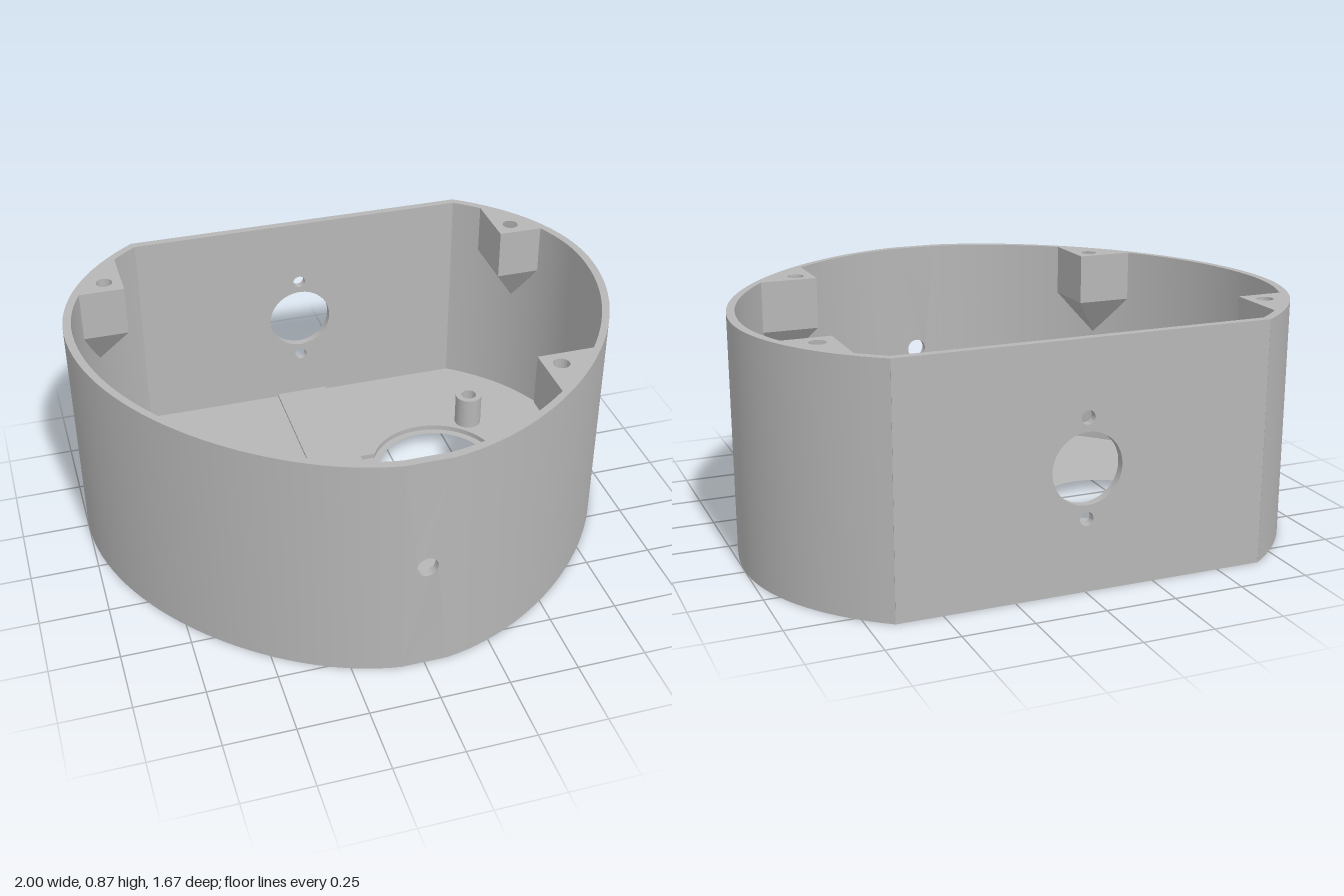
import * as THREE from 'three';
import { toCreasedNormals } from 'three/addons/utils/BufferGeometryUtils.js';
import { ConvexGeometry } from 'three/addons/geometries/ConvexGeometry.js';

const H = 0.865, WALL = 0.03, BACK = -0.84, MID = -0.24;
const V = (x, y) => new THREE.Vector2(x, y);

export function createModel() {
  const model = new THREE.Group();
  const grey = new THREE.MeshStandardMaterial({ color: 0xb6b6b6 });

  const add = (name, geometry) => {
    const mesh = new THREE.Mesh(geometry, grey);
    mesh.name = name;
    model.add(mesh);
    return mesh;
  };
  const extrude = (shape, depth) =>
    new THREE.ExtrudeGeometry(shape, { depth, bevelEnabled: false, curveSegments: 32 });
  // Upright prism: the shape is drawn in x and z, and runs from y0 to y1
  const prism = (shape, y0, y1) =>
    toCreasedNormals(extrude(shape, y1 - y0).rotateX(Math.PI / 2).translate(0, y1, 0), 0.5);
  const circle = (x, y, r) => new THREE.Path().absarc(x, y, r, 0, Math.PI * 2, true);
  const disc = (x, y, r) => new THREE.Shape().absarc(x, y, r, 0, Math.PI * 2, false);

  // One side of the outline, inset by d, from the front (t = tEnd) to the back corner
  const side = (d, s, tEnd) => {
    const curve = new THREE.CubicBezierCurve(
      V(1 - d, MID), V(1 - d, 0.307 - d * 0.2), V(0.45 - d * 0.3, 0.83 - d), V(0, 0.83 - d));
    const pts = [];
    for (let i = 0; i <= 32; i++) pts.push(curve.getPoint(tEnd * (1 - i / 32)));
    const phi = Math.asin((MID - BACK - d) / (0.8 - d));
    for (let i = 1; i <= 16; i++) {
      const a = phi * i / 16;
      pts.push(V((1 - d) * Math.cos(a), MID - (0.8 - d) * Math.sin(a)));
    }
    return pts.map(p => V(p.x * s, p.y));
  };

  // Curved side walls
  for (const s of [1, -1]) {
    const ring = new THREE.Shape([...side(0, s, 0.94), ...side(WALL, s, 0.94).reverse()]);
    add(s > 0 ? 'leftWall' : 'rightWall', prism(ring, 0, H));
  }

  // Upright panel with round holes, given as [y, radius]
  const panel = (w, holes) => {
    const shape = new THREE.Shape([V(-w, 0), V(w, 0), V(w, H), V(-w, H)]);
    for (const [y, r] of holes) shape.holes.push(circle(0, y, r));
    return extrude(shape, WALL);
  };
  add('backWall', toCreasedNormals(
    panel(0.661, [[0.43, 0.125], [0.603, 0.024], [0.257, 0.024]]).translate(0, 0, BACK), 0.5));

  // Front strip with the cable hole, bent to follow the outline
  const front = panel(0.082, [[0.435, 0.037]]).translate(0, 0, 0.83 - WALL);
  const pos = front.attributes.position;
  for (let i = 0; i < pos.count; i++) pos.setZ(i, pos.getZ(i) - 0.82 * pos.getX(i) ** 2);
  add('frontWall', toCreasedNormals(front, 0.5));

  // Floor in three layers: outer recess, through holes, inner recess
  const EX = 0.388, EZ = -0.175;
  const floor = () => new THREE.Shape(
    [...side(WALL, 1, 1), ...side(WALL, -1, 1).reverse().slice(0, -1)]);

  const lower = floor();
  const middle = floor();
  const upper = floor();
  for (const s of [1, -1]) {
    lower.holes.push(circle(s * EX, EZ, 0.325));
    lower.holes.push(circle(s * 0.3, -0.522, 0.02));
    middle.holes.push(circle(s * EX, EZ, 0.225));
    // Round recess with a square notch towards the middle
    const a = Math.asin(0.125 / 0.253), pts = [];
    for (let i = 0; i <= 48; i++) {
      const t = -Math.PI + a + (Math.PI - a) * 2 * i / 48;
      pts.push(V(s * (EX + 0.253 * Math.cos(t)), EZ + 0.253 * Math.sin(t)));
    }
    pts.push(V(s * 0.1, EZ + 0.125), V(s * 0.1, EZ - 0.125));
    upper.holes.push(new THREE.Path(pts));
  }
  // Curved groove on the underside
  const arc = [];
  for (const [r, dir] of [[0.488, 1], [0.452, -1]]) {
    for (let i = 0; i <= 24; i++) {
      const t = dir * 0.57 * (i / 12 - 1);
      arc.push(V(r * Math.sin(t), -0.16 - r * Math.cos(t)));
    }
  }
  lower.holes.push(new THREE.Path(arc));
  add('floorBottom', prism(lower, 0, 0.02));
  add('floorMiddle', prism(middle, 0.02, 0.04));
  add('floorTop', prism(upper, 0.04, 0.06));

  // Low pad running from the back wall to the middle
  add('centrePad', new THREE.BoxGeometry(0.21, 0.012, 0.61).translate(0, 0.064, -0.505));

  // Hollow screw posts on the floor
  for (const s of [1, -1]) {
    for (const [x, z] of [[0.607, -0.413], [0.167, 0.066]]) {
      const post = disc(s * x, z, 0.053);
      post.holes.push(circle(s * x, z, 0.03));
      add('screwPost', prism(post, 0.055, 0.19));
    }
  }

  // Lid bosses: drilled blocks with a tapered underside meeting the wall
  const bosses = [
    { name: 'backBoss', outline: [[0.743, -0.505], [0.925, -0.505], [0.858, -0.62], [0.743, -0.757]],
      hole: [0.808, -0.57], tip: [0.85, -0.612] },
    { name: 'frontBoss', outline: [[0.545, 0.36], [0.757, 0.36], [0.668, 0.486], [0.545, 0.598]],
      hole: [0.608, 0.422], tip: [0.665, 0.48] },
  ];
  const yBoss = 0.675;
  for (const s of [1, -1]) {
    for (const b of bosses) {
      const block = new THREE.Shape(b.outline.map(([x, z]) => V(s * x, z)));
      block.holes.push(circle(s * b.hole[0], b.hole[1], 0.03));
      add(b.name, prism(block, yBoss, H));
      add(b.name + 'Taper', new ConvexGeometry([
        ...b.outline.map(([x, z]) => new THREE.Vector3(s * x, yBoss, z)),
        new THREE.Vector3(s * b.tip[0], 0.515, b.tip[1]),
      ]));
    }
  }
  return model;
}
